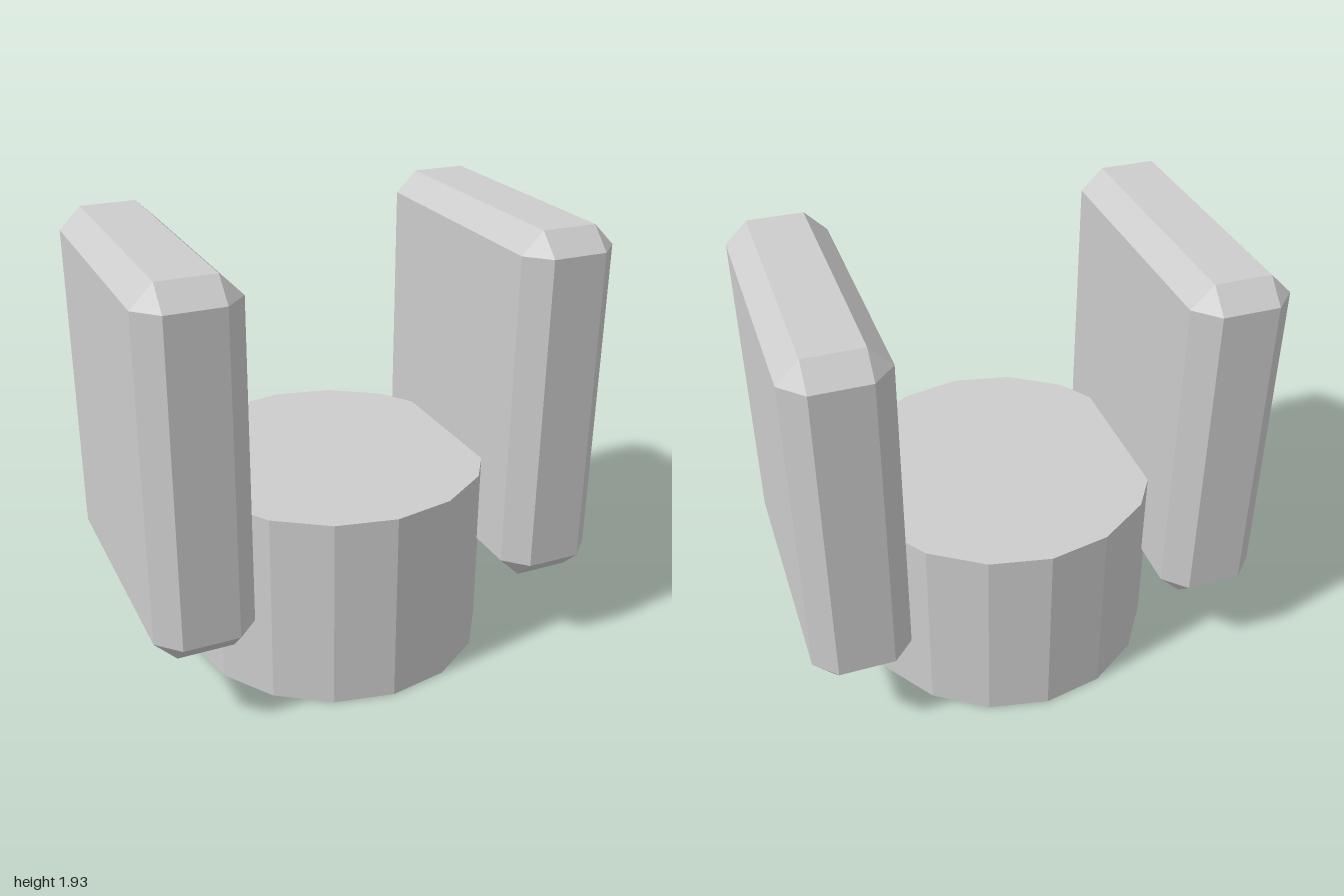
import * as THREE from 'three';
import { ConvexGeometry } from 'three/addons/geometries/ConvexGeometry.js';

// Box with every edge chamfered and triangular corners
function chamferedBox(width, height, depth, c) {
  const [x, y, z] = [width / 2, height / 2, depth / 2];
  const points = [];
  for (const sx of [-1, 1]) for (const sy of [-1, 1]) for (const sz of [-1, 1]) {
    points.push(
      new THREE.Vector3(sx * x, sy * (y - c), sz * (z - c)),
      new THREE.Vector3(sx * (x - c), sy * y, sz * (z - c)),
      new THREE.Vector3(sx * (x - c), sy * (y - c), sz * z),
    );
  }
  return new ConvexGeometry(points);
}

export function createModel() {
  const group = new THREE.Group();
  group.name = 'clevis';

  const grey = new THREE.MeshStandardMaterial({ color: 0xcccccc, flatShading: true });
  grey.name = 'light grey';

  // Sixteen-sided base
  const base = new THREE.Mesh(new THREE.CylinderGeometry(0.677, 0.677, 0.86, 16), grey);
  base.name = 'base';
  base.position.y = 0.43;
  group.add(base);

  // Upright plates on both sides
  const plateGeometry = chamferedBox(0.425, 1.57, 1.28, 0.093);
  for (const side of [-1, 1]) {
    const plate = new THREE.Mesh(plateGeometry, grey);
    plate.name = side > 0 ? 'leftPlate' : 'rightPlate';
    plate.position.set(side * 0.7875, 1.147, 0);
    group.add(plate);
  }

  return group;
}
